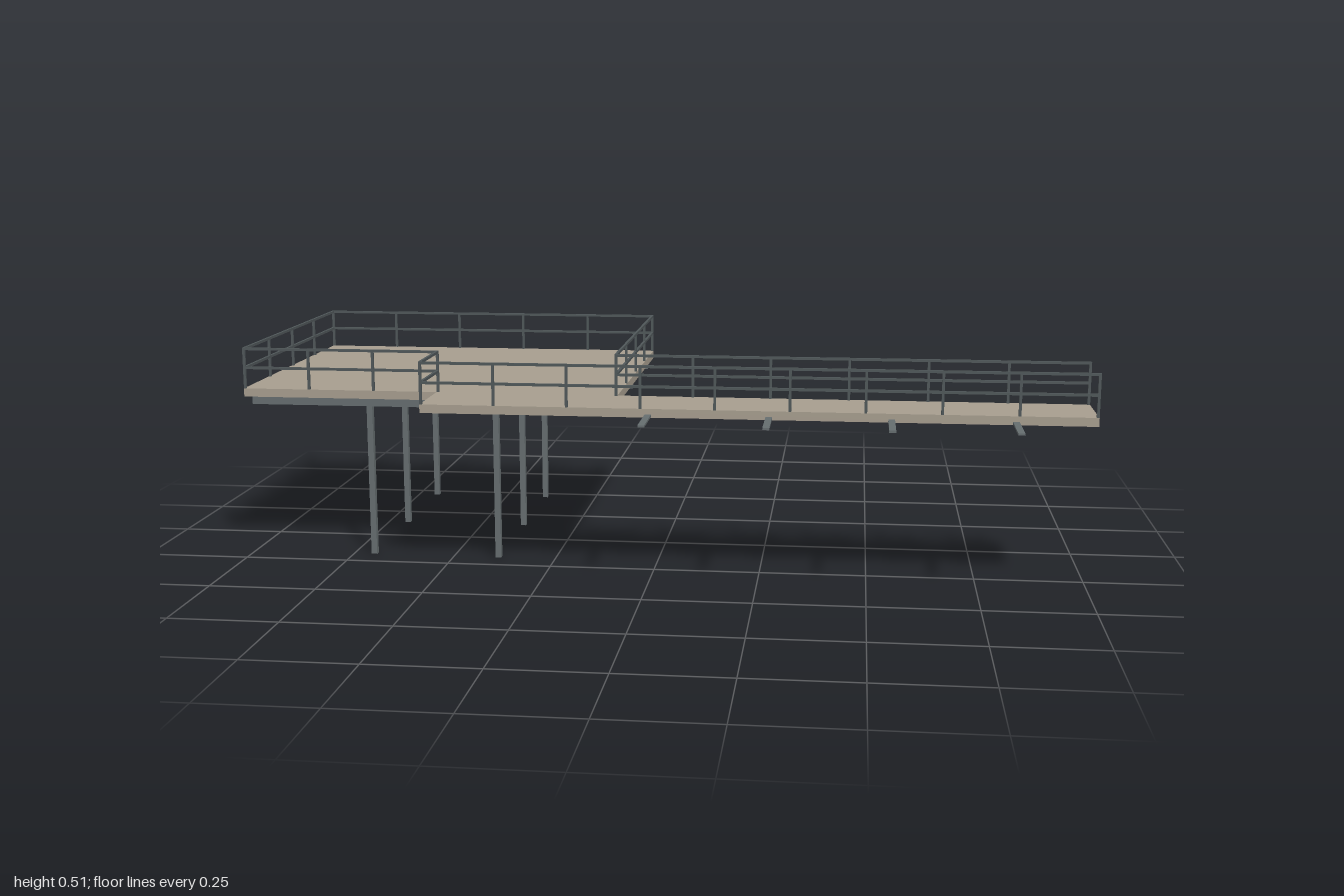
import * as THREE from 'three';

const deckMat = new THREE.MeshStandardMaterial({ name: 'weathered decking', color: 0xa89f90 });
const steelMat = new THREE.MeshStandardMaterial({ name: 'grey steel', color: 0x666e70 });
const railMat = new THREE.MeshStandardMaterial({ name: 'dark rail steel', color: 0x50585a });

const DECK_BOTTOM = 0.392, DECK_TOP = 0.412, RAIL_TOP = 0.511;
const RAIL = 0.006; // rail and post thickness

function box(name, material, size, position) {
  const mesh = new THREE.Mesh(new THREE.BoxGeometry(...size), material);
  mesh.name = name;
  mesh.position.set(...position);
  return mesh;
}

// Deck outline as [x, z], from the open walkway end round the platform and back.
// inset moves every edge except the open end inwards.
function outline(inset) {
  const e = inset;
  return [
    [1, 0.215 + e], [-0.09 - e, 0.215 + e], [-0.09 - e, -0.51 + e], [-1 + e, -0.51 + e],
    [-1 + e, 0.215 - e], [-0.525 + e, 0.215 - e], [-0.525 + e, 0.382 - e], [1, 0.382 - e],
  ];
}

// Platform and walkway in one slab
function createDeck() {
  const shape = new THREE.Shape(outline(0).map(([x, z]) => new THREE.Vector2(x, -z)));
  const geometry = new THREE.ExtrudeGeometry(shape, { depth: DECK_TOP - DECK_BOTTOM, bevelEnabled: false });
  geometry.rotateX(-Math.PI / 2);
  const deck = new THREE.Mesh(geometry, deckMat);
  deck.name = 'deck';
  deck.position.y = DECK_BOTTOM;
  return deck;
}

// Two rails per side, with posts at even spacing
function createRailing() {
  const railing = new THREE.Group();
  railing.name = 'railing';
  const path = outline(RAIL / 2);
  path[0][0] = path[path.length - 1][0] = 1 - RAIL / 2;
  const addPost = (x, z) => railing.add(box('post', railMat,
    [RAIL, RAIL_TOP - DECK_TOP, RAIL], [x, (RAIL_TOP + DECK_TOP) / 2, z]));

  for (let i = 0; i < path.length - 1; i++) {
    const [x0, z0] = path[i], [x1, z1] = path[i + 1];
    const dx = x1 - x0, dz = z1 - z0;
    for (const [name, y] of [['topRail', RAIL_TOP - RAIL / 2], ['middleRail', 0.462]]) {
      railing.add(box(name, railMat, [Math.abs(dx) + RAIL, RAIL, Math.abs(dz) + RAIL],
        [(x0 + x1) / 2, y, (z0 + z1) / 2]));
    }
    const bays = Math.ceil(Math.hypot(dx, dz) / 0.183);
    for (let k = 0; k < bays; k++) addPost(x0 + dx * k / bays, z0 + dz * k / bays);
  }
  addPost(...path[path.length - 1]);
  return railing;
}

// Three beams under the platform, each on two columns
function createSupports() {
  const supports = new THREE.Group();
  supports.name = 'supports';
  const beamBottom = 0.369;
  for (const z of [0.177, -0.143, -0.463]) {
    supports.add(box('beam', steelMat, [0.89, DECK_BOTTOM - beamBottom, 0.021],
      [-0.545, (DECK_BOTTOM + beamBottom) / 2, z]));
    for (const x of [-0.7, -0.39]) {
      supports.add(box('column', steelMat, [0.014, beamBottom, 0.015], [x, beamBottom / 2, z]));
    }
  }
  return supports;
}

// Short flat arms reaching out from the walkway's front edge
function createArms() {
  const arms = new THREE.Group();
  arms.name = 'walkwayArms';
  for (let i = 0; i < 4; i++) {
    arms.add(box('arm', steelMat, [0.015, 0.005, 0.13], [0.002 + i * 0.273, 0.3965, 0.445]));
  }
  return arms;
}

export function createModel() {
  const model = new THREE.Group();
  model.name = 'raisedPlatform';
  model.add(createDeck(), createRailing(), createSupports(), createArms());
  return model;
}
